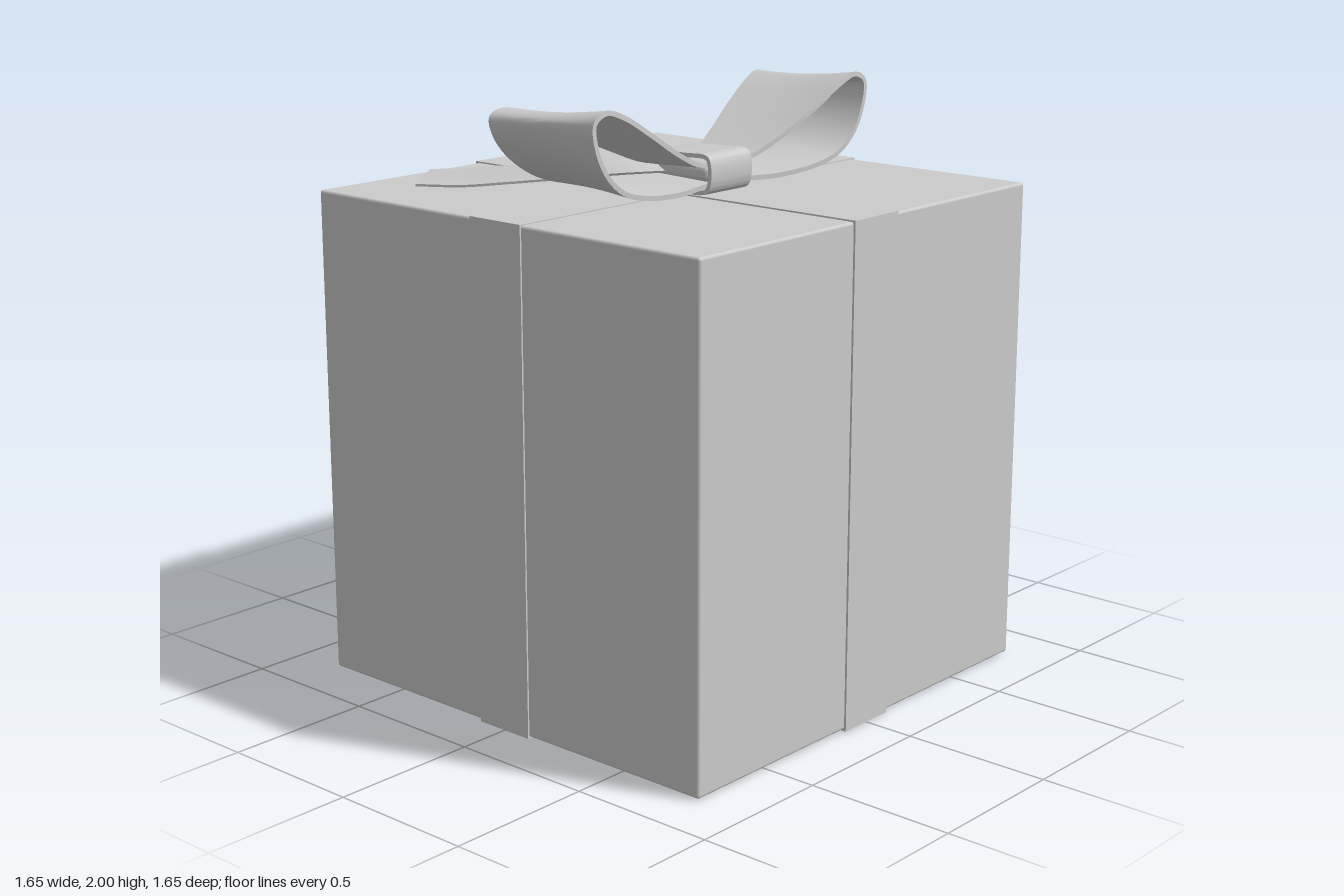
import * as THREE from 'three';
import { RoundedBoxGeometry } from 'three/addons/geometries/RoundedBoxGeometry.js';
import { toCreasedNormals } from 'three/addons/utils/BufferGeometryUtils.js';

const material = new THREE.MeshStandardMaterial({ color: 0xcccccc, side: THREE.DoubleSide });

function add(parent, name, geometry) {
  const mesh = new THREE.Mesh(geometry, material);
  mesh.name = name;
  parent.add(mesh);
  return mesh;
}

// Thin solid strip between two edge curves; sag(u) bulges the middle along the normal
function ribbon(edgeA, edgeB, { closed = false, sag = () => 0, thick = 0.014, steps = 48 } = {}) {
  const toCurve = (pts) => new THREE.CatmullRomCurve3(pts.map((p) => new THREE.Vector3(...p)), closed, 'centripetal');
  const a = toCurve(edgeA), b = toCurve(edgeB), across = 8;
  const ring = 2 * (across + 1), positions = [], index = [];
  for (let i = 0; i <= steps; i++) {
    const u = i / steps, pa = a.getPoint(u), pb = b.getPoint(u);
    const tangent = a.getTangent(u).add(b.getTangent(u));
    const normal = tangent.cross(pb.clone().sub(pa)).normalize();
    for (let k = 0; k < ring; k++) {
      const top = k <= across;
      const v = (top ? k : ring - 1 - k) / across;
      const offset = sag(u) * Math.sin(Math.PI * v) + (top ? thick : -thick) / 2;
      positions.push(...pa.clone().lerp(pb, v).addScaledVector(normal, offset).toArray());
    }
  }
  for (let i = 0; i < steps; i++) {
    for (let k = 0; k < ring; k++) {
      const p = i * ring + k, q = i * ring + ((k + 1) % ring);
      index.push(p, p + ring, q, q, p + ring, q + ring);
    }
  }
  // End caps
  if (!closed) {
    const last = steps * ring;
    for (let k = 0; k < across; k++) {
      const m = ring - 1 - k;
      index.push(k, k + 1, m, k + 1, m - 1, m);
      index.push(last + k, last + m, last + k + 1, last + k + 1, last + m, last + m - 1);
    }
  }
  const geometry = new THREE.BufferGeometry();
  geometry.setAttribute('position', new THREE.Float32BufferAttribute(positions, 3));
  geometry.setIndex(index);
  return toCreasedNormals(geometry, 0.7);
}

// Same strip on the +z or -z side, swapping edges to keep faces outward
function sidedRibbon(side, edgeA, edgeB, options) {
  const flip = (pts) => pts.map(([x, y, z]) => [x, y, z * side]);
  return side > 0 ? ribbon(edgeA, edgeB, options) : ribbon(flip(edgeB), flip(edgeA), options);
}

export function createModel() {
  const model = new THREE.Group();
  model.name = 'giftBox';

  // Box with slightly softened edges
  add(model, 'box', new RoundedBoxGeometry(1.636, 1.65, 1.636, 2, 0.01)).position.y = 0.83;

  // Flat bands wrapped around the box in both directions
  add(model, 'bandAcross', new THREE.BoxGeometry(1.65, 1.66, 0.216)).position.y = 0.83;
  add(model, 'bandFrontToBack', new THREE.BoxGeometry(0.216, 1.658, 1.648)).position.y = 0.83;

  const bow = new THREE.Group();
  bow.name = 'bow';
  bow.position.z = 0.01;
  model.add(bow);

  // Loop path: z, y of the right edge, drop of the left edge, left x, right x
  const loopPath = [
    [0.00, 1.765, 0.01, 0.01, 0.23],
    [0.12, 1.765, 0.01, -0.01, 0.23],
    [0.25, 1.815, 0.01, -0.05, 0.25],
    [0.40, 1.895, 0.02, -0.10, 0.272],
    [0.53, 1.965, 0.03, -0.135, 0.278],
    [0.61, 1.988, 0.03, -0.155, 0.278],
    [0.66, 1.96, 0.02, -0.165, 0.278],
    [0.655, 1.89, 0.0, -0.16, 0.278],
    [0.61, 1.80, -0.02, -0.145, 0.278],
    [0.53, 1.735, -0.02, -0.11, 0.275],
    [0.42, 1.705, -0.015, -0.08, 0.27],
    [0.25, 1.69, -0.015, -0.05, 0.25],
    [0.10, 1.695, -0.01, -0.01, 0.23],
    [0.00, 1.70, 0.0, 0.01, 0.23],
  ];
  const loopLeft = loopPath.map(([z, y, drop, xl]) => [xl, y - drop, z]);
  const loopRight = loopPath.map(([z, y, , , xr]) => [xr, y, z]);

  // Tail edges: inner edge faces the middle band, outer edge faces the corner
  const tailInner = [[0.03, 1.74, 0.04], [-0.11, 1.75, 0.14], [-0.3, 1.728, 0.205],
    [-0.5, 1.70, 0.27], [-0.62, 1.685, 0.335], [-0.735, 1.676, 0.395]];
  const tailOuter = [[0.06, 1.72, 0.06], [-0.05, 1.715, 0.19], [-0.2, 1.70, 0.34],
    [-0.33, 1.685, 0.44], [-0.45, 1.672, 0.52], [-0.585, 1.67, 0.60]];

  for (const side of [1, -1]) {
    const label = side > 0 ? 'front' : 'back';
    add(bow, label + 'Loop', sidedRibbon(side, loopLeft, loopRight, {
      sag: (u) => -0.012 * Math.sin(Math.PI * u) ** 2, thick: 0.016, steps: 64,
    }));
    add(bow, label + 'Tail', sidedRibbon(side, tailInner, tailOuter, {
      sag: (u) => 0.018 * Math.sin(Math.PI * u), thick: 0.008, steps: 32,
    }));
  }

  // Knot: a closed band around the gathered middle
  const knotPath = [[-0.035, 1.69], [-0.045, 1.73], [-0.02, 1.772], [0.06, 1.783], [0.15, 1.787],
    [0.235, 1.785], [0.247, 1.76], [0.245, 1.70], [0.23, 1.676], [0.1, 1.672], [0.0, 1.674]];
  const knotEdge = (z, pinch) => knotPath.map(([x, y]) => [x + pinch * (x < 0 ? 1 : -1), y, z]);
  add(bow, 'knot', ribbon(knotEdge(-0.1, 0.004), knotEdge(0.1, 0.004), { closed: true, thick: 0.014, steps: 60 }));

  // Gathered folds inside the knot
  add(bow, 'knotFolds', new RoundedBoxGeometry(0.23, 0.06, 0.17, 3, 0.025)).position.set(0.11, 1.73, 0);

  return model;
}
